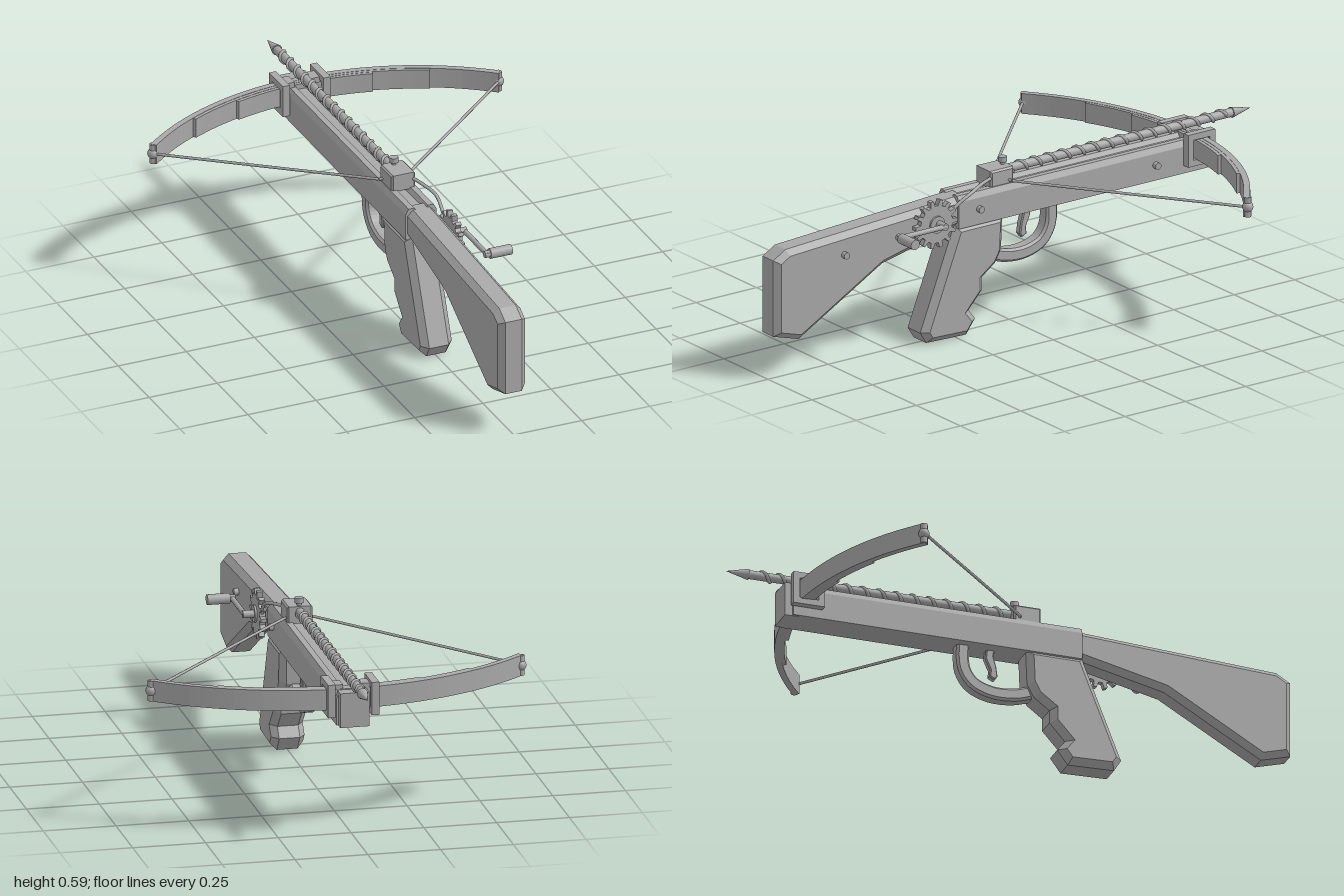
import * as THREE from 'three';

const grey = new THREE.MeshStandardMaterial({ color: 0xa8a8a8 });
grey.name = 'plain grey';

const V = (x, y, z) => new THREE.Vector3(x, y, z);

export function createModel() {
  const model = new THREE.Group();
  model.name = 'crossbow';

  function add(name, geometry, x = 0, y = 0, z = 0) {
    const mesh = new THREE.Mesh(geometry, grey);
    mesh.name = name;
    mesh.position.set(x, y, z);
    model.add(mesh);
    return mesh;
  }
  const box = (name, w, h, d, x, y, z) => add(name, new THREE.BoxGeometry(w, h, d), x, y, z);

  // Cylinder whose axis runs along x
  const pin = (name, r, x0, x1, y, z, sides = 16) =>
    add(name, new THREE.CylinderGeometry(r, r, x1 - x0, sides).rotateZ(Math.PI / 2), (x0 + x1) / 2, y, z);

  const tube = (name, points, r, segments = 24) =>
    add(name, new THREE.TubeGeometry(new THREE.CatmullRomCurve3(points), segments, r, 8));

  // Side outline given as [z, y], extruded across x with chamfered edges
  function profile(name, points, width, bevel, x = 0, hole) {
    const shape = new THREE.Shape(points.map(p => new THREE.Vector2(...p)));
    if (hole) shape.holes.push(new THREE.Path(hole.map(p => new THREE.Vector2(...p))));
    const g = new THREE.ExtrudeGeometry(shape, {
      depth: width - 2 * bevel, bevelEnabled: bevel > 0, bevelSegments: 1,
      bevelSize: bevel, bevelThickness: bevel, bevelOffset: -bevel,
    });
    g.translate(0, 0, bevel - width / 2).rotateY(-Math.PI / 2);
    return add(name, g, x);
  }

  // Shoulder stock and pistol grip
  profile('stock', [[1, 0.43], [1, 0.16], [0.895, 0.13], [0.55, 0.325], [0.26, 0.39],
    [0.22, 0.40], [0.22, 0.50], [0.95, 0.46]], 0.10, 0.02);
  profile('grip', [[0.255, 0.40], [0.395, 0.045], [0.37, 0.005], [0.205, 0], [0.168, 0.05],
    [0.195, 0.085], [0.14, 0.145], [0.14, 0.19], [0.085, 0.23], [0.06, 0.275], [0.055, 0.40]], 0.115, 0.022);

  // Rail with a shallow groove for the bolt
  const section = [[-0.057, 0.39], [0.057, 0.39], [0.057, 0.485], [0.046, 0.505], [0.025, 0.505],
    [0.015, 0.49], [-0.015, 0.49], [-0.025, 0.505], [-0.046, 0.505], [-0.057, 0.485]];
  const rail = new THREE.ExtrudeGeometry(new THREE.Shape(section.map(p => new THREE.Vector2(...p))),
    { depth: 1.03, bevelEnabled: false });
  add('rail', rail, 0, 0, -0.78);
  box('noseBlock', 0.10, 0.12, 0.05, 0, 0.448, -0.782);

  // Trigger guard and trigger
  const guardPath = new THREE.CatmullRomCurve3([V(0.08, 0.255, 0), V(0.02, 0.237, 0), V(-0.06, 0.235, 0),
    V(-0.125, 0.26, 0), V(-0.158, 0.31, 0), V(-0.162, 0.40, 0)]);
  const bandPoints = [], inner = [];
  for (let i = 0; i <= 20; i++) {
    const p = guardPath.getPoint(i / 20), t = guardPath.getTangent(i / 20);
    bandPoints.push([p.x - t.y * 0.023, p.y + t.x * 0.023]);
    inner.unshift([p.x + t.y * 0.023, p.y - t.x * 0.023]);
  }
  profile('triggerGuard', [...bandPoints, ...inner], 0.05, 0.008);
  profile('trigger', [[-0.075, 0.40], [-0.08, 0.36], [-0.062, 0.32], [-0.065, 0.295], [-0.045, 0.285],
    [-0.035, 0.30], [-0.04, 0.335], [-0.05, 0.37], [-0.045, 0.40]], 0.026, 0.004);

  // Laminated bow limbs: each layer is an arc seen from above
  const R = 0.975, bowY = 0.475;
  function bowLayer(name, outer, innerR, halfWidth, height) {
    const a = Math.asin(halfWidth / R);
    const s = new THREE.Shape();
    s.absarc(0, 0, outer, Math.PI / 2 - a, Math.PI / 2 + a, false);
    s.absarc(0, 0, innerR, Math.PI / 2 + a, Math.PI / 2 - a, true);
    const g = new THREE.ExtrudeGeometry(s, { depth: height, bevelEnabled: false, curveSegments: 28 });
    g.translate(0, 0, -height / 2).rotateX(-Math.PI / 2);
    add(name, g, 0, bowY, R - 0.752);
  }
  bowLayer('bowLimbs', R + 0.012, R - 0.01, 0.635, 0.072);
  bowLayer('middleLamination', R - 0.01, R - 0.022, 0.44, 0.07);
  bowLayer('innerLamination', R - 0.022, R - 0.034, 0.255, 0.068);

  // Paired parts: bow brackets, limb tips and string halves
  for (const s of [1, -1]) {
    profile('bowBracket', [[-0.678, 0.42], [-0.678, 0.535], [-0.79, 0.535], [-0.79, 0.42]], 0.026, 0, s * 0.075,
      [[-0.70, 0.442], [-0.768, 0.442], [-0.768, 0.513], [-0.70, 0.513]]);
    box('bracketTab', 0.04, 0.02, 0.05, s * 0.05, 0.515, -0.735);
    add('limbTipPost', new THREE.CylinderGeometry(0.012, 0.012, 0.07, 14), s * 0.635, bowY, -0.525);
    add('limbTipKnob', new THREE.SphereGeometry(0.019, 16, 12), s * 0.635, bowY, -0.525);
    tube('bowString', [V(s * 0.635, bowY, -0.52), V(s * 0.345, 0.495, -0.245), V(s * 0.055, 0.515, 0.028)], 0.005, 8);
    tube('stringEnd', [V(s * 0.055, 0.515, 0.028), V(s * 0.03, 0.518, 0.036), V(0, 0.52, 0.036)], 0.005, 8);
  }

  // Spiral bolt with a pointed tip
  const boltY = 0.54;
  add('boltShaft', new THREE.CylinderGeometry(0.015, 0.015, 0.94, 16).rotateX(Math.PI / 2), 0, boltY, -0.45);
  add('boltTip', new THREE.ConeGeometry(0.019, 0.08, 16).rotateX(-Math.PI / 2), 0, boltY, -0.96);
  const helix = [], turns = 15;
  for (let i = 0; i <= turns * 10; i++) {
    const t = i / 10 * Math.PI * 2;
    helix.push(V(0.015 * Math.cos(t), boltY - 0.015 * Math.sin(t), -i / (turns * 10) * 0.89));
  }
  tube('boltSpiral', helix, 0.006, turns * 16);

  // Latch housing with its top knob
  profile('latchHousing', [[0.108, 0.50], [0.108, 0.56], [0.012, 0.56], [0.012, 0.50]], 0.088, 0.006);
  add('latchStem', new THREE.CylinderGeometry(0.008, 0.008, 0.02, 12), 0, 0.565, 0.028);
  add('latchKnob', new THREE.CylinderGeometry(0.015, 0.015, 0.018, 16), 0, 0.578, 0.028);

  // Winding gear
  const gearPoints = [], teeth = 14;
  for (let i = 0; i < teeth; i++) {
    for (const [f, r] of [[-0.28, 0.066], [-0.15, 0.086], [0.15, 0.086], [0.28, 0.066]]) {
      const a = (i + f) / teeth * Math.PI * 2;
      gearPoints.push([0.355 + r * Math.cos(a), 0.435 + r * Math.sin(a)]);
    }
  }
  profile('windingGear', gearPoints, 0.02, 0, 0.065);
  pin('gearHub', 0.03, 0.045, 0.082, 0.435, 0.355);

  // Crank handle
  pin('crankShaft', 0.013, 0.04, 0.12, 0.437, 0.35);
  add('crankArm', new THREE.CylinderGeometry(0.009, 0.009, 0.20, 12).rotateX(Math.PI / 2), 0.113, 0.437, 0.445);
  pin('crankHandle', 0.018, 0.122, 0.20, 0.437, 0.535);
  pin('crankJoint', 0.012, 0.103, 0.124, 0.437, 0.535);

  // Winding cable from the housing to the gear
  tube('windingCable', [V(0.035, 0.535, 0.10), V(0.052, 0.53, 0.15), V(0.072, 0.515, 0.21),
    V(0.07, 0.485, 0.265), V(0.065, 0.45, 0.30)], 0.006);

  // Side pins
  for (const [y, z, x] of [[0.398, 0.72, 0.066], [0.445, 0.165, 0.072], [0.445, -0.565, 0.074]])
    pin('sidePin', 0.012, 0.03, x, y, z);

  return model;
}
